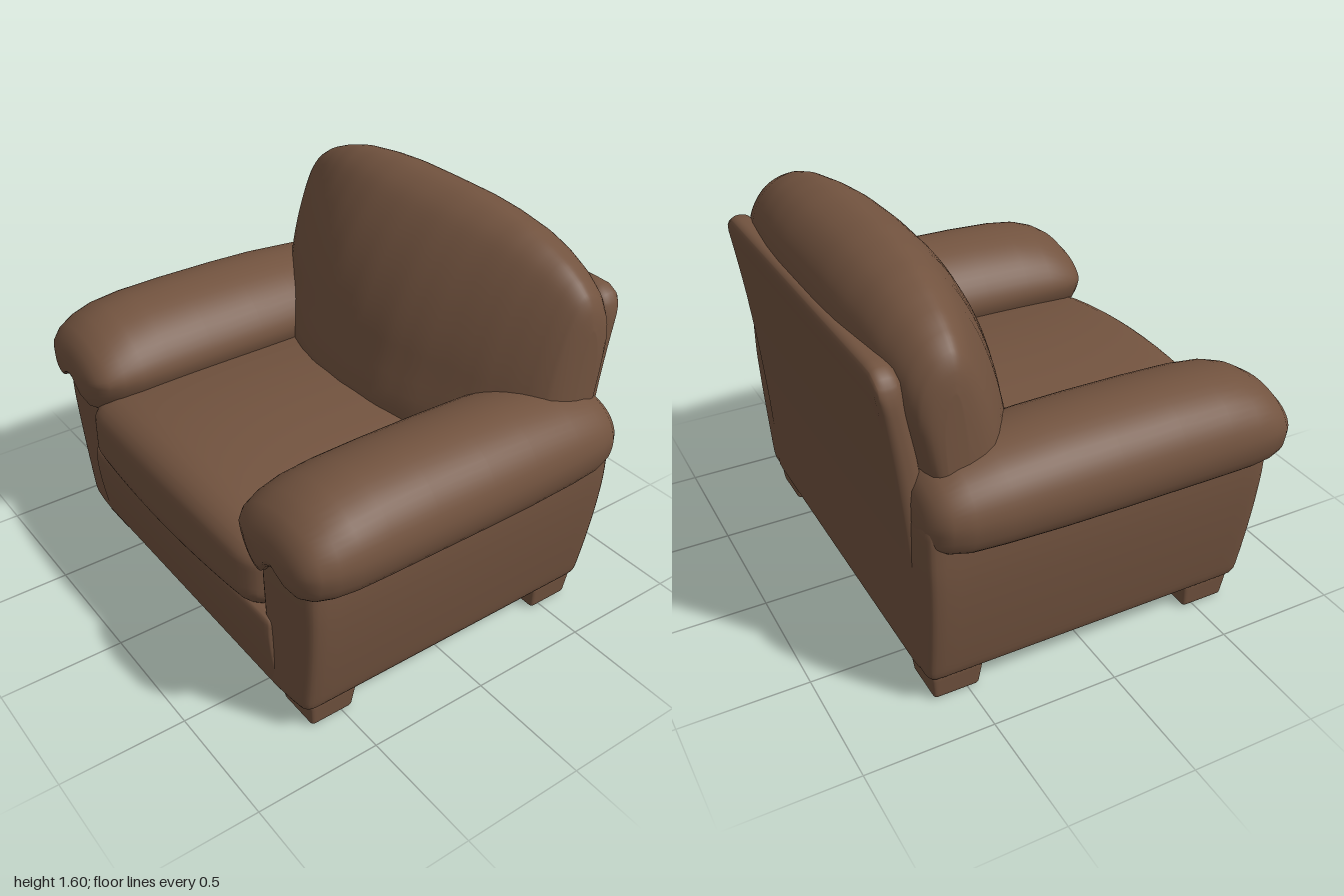
import * as THREE from 'three';
import { mergeVertices } from 'three/addons/utils/BufferGeometryUtils.js';

const leather = new THREE.MeshStandardMaterial({ color: 0x72533f });
leather.name = 'brown leather';

// Moves every vertex by a rule and refreshes the smooth normals
function deform(geo, rule) {
  const p = geo.attributes.position, v = new THREE.Vector3();
  for (let i = 0; i < p.count; i++) {
    rule(v.fromBufferAttribute(p, i));
    p.setXYZ(i, v.x, v.y, v.z);
  }
  geo.computeVertexNormals();
  return geo;
}

// Finely divided rounded box between two corners, optionally reshaped
function softBox([x0, y0, z0], [x1, y1, z1], r, rule = () => {}) {
  const n = 22;
  let geo = new THREE.BoxGeometry(2, 2, 2, n, n, n);
  geo.deleteAttribute('uv');
  geo.deleteAttribute('normal');
  geo = mergeVertices(geo);
  const half = new THREE.Vector3(x1 - x0, y1 - y0, z1 - z0).multiplyScalar(0.5);
  const mid = new THREE.Vector3(x0 + x1, y0 + y1, z0 + z1).multiplyScalar(0.5);
  const inner = half.clone().subScalar(r), low = inner.clone().negate();
  const core = new THREE.Vector3();
  const ease = (t) => Math.sin(t * Math.PI / 2);
  return deform(geo, (v) => {
    v.set(ease(v.x), ease(v.y), ease(v.z)).multiply(half);
    core.copy(v).clamp(low, inner);
    v.sub(core).setLength(r).add(core).add(mid);
    rule(v);
  });
}

// Skin over a row of closed rings, capped at both ends and facing outwards
function loft(rings) {
  const m = rings[0].length, pos = [], idx = [];
  rings.forEach((ring) => ring.forEach((p) => pos.push(p.x, p.y, p.z)));
  for (let i = 0; i < rings.length - 1; i++) for (let j = 0; j < m; j++) {
    const a = i * m + j, b = i * m + (j + 1) % m;
    idx.push(a, b, b + m, a, b + m, a + m);
  }
  [0, rings.length - 1].forEach((i) => {
    const c = new THREE.Vector3();
    rings[i].forEach((p) => c.addScaledVector(p, 1 / m));
    const k = pos.length / 3;
    pos.push(c.x, c.y, c.z);
    for (let j = 0; j < m; j++) {
      const a = i * m + j, b = i * m + (j + 1) % m;
      idx.push(...(i === 0 ? [k, b, a] : [k, a, b]));
    }
  });
  const at = (i) => new THREE.Vector3().fromArray(pos, i * 3);
  let volume = 0;
  for (let i = 0; i < idx.length; i += 3) volume += at(idx[i]).dot(at(idx[i + 1]).cross(at(idx[i + 2])));
  if (volume < 0) idx.reverse();
  const geo = new THREE.BufferGeometry();
  geo.setAttribute('position', new THREE.Float32BufferAttribute(pos, 3));
  geo.setIndex(idx);
  geo.computeVertexNormals();
  return geo;
}

const smoothRing = (pts, n) => new THREE.CatmullRomCurve3(
  pts.map(([a, b]) => new THREE.Vector3(a, b, 0)), true).getPoints(n).slice(0, n);

// Linear lookup in a table whose first column increases
function lookup(table, t, col) {
  let i = 1;
  while (i < table.length - 1 && table[i][0] < t) i++;
  const a = table[i - 1], b = table[i];
  return THREE.MathUtils.mapLinear(t, a[0], b[0], a[col], b[col]);
}

// Rolled armrest: a mushroom-shaped section with rounded ends
function armPad(side) {
  const section = smoothRing([[1.0, 0.84], [0.975, 0.94], [0.9, 1.02], [0.77, 1.06], [0.62, 1.03],
    [0.51, 0.95], [0.455, 0.84], [0.49, 0.74], [0.56, 0.67], [0.62, 0.66], [0.68, 0.72],
    [0.77, 0.76], [0.84, 0.74], [0.9, 0.705], [0.97, 0.74]], 60);
  // z, width, height above the middle, height below it
  const stations = [[-0.69, 0.3, 0.2, 0.3], [-0.685, 0.5, 0.4, 0.55], [-0.66, 0.7, 0.58, 0.8],
    [-0.62, 0.82, 0.72, 0.92], [-0.55, 0.9, 0.82, 1], [-0.42, 0.95, 0.91, 1], [-0.2, 0.99, 0.98, 1],
    [0, 1, 1, 1], [0.25, 1, 1, 1], [0.45, 1, 0.97, 1], [0.57, 0.99, 0.9, 1], [0.65, 0.95, 0.78, 0.98],
    [0.71, 0.87, 0.62, 0.92], [0.745, 0.75, 0.45, 0.8], [0.765, 0.55, 0.25, 0.55], [0.77, 0.3, 0.1, 0.3]];
  return loft(stations.map(([z, w, up, down]) => section.map((p) => new THREE.Vector3(
    side * (0.735 + (p.x - 0.735) * w), 0.82 + (p.y - 0.82) * (p.y > 0.82 ? up : down), z))));
}

// Puffed back cushion: a leaning side profile that shrinks towards both ends
function backCushion() {
  const profile = smoothRing([[-0.08, 0.75], [-0.115, 1.05], [-0.2, 1.28], [-0.32, 1.47], [-0.42, 1.565],
    [-0.53, 1.6], [-0.65, 1.56], [-0.735, 1.46], [-0.76, 1.34], [-0.72, 1.15], [-0.66, 0.95], [-0.6, 0.75]], 64);
  // x, forward size, backward size, height
  const sizes = [[0, 1, 1, 1], [0.2, 0.97, 1, 0.998], [0.35, 0.89, 0.97, 0.985], [0.5, 0.77, 0.9, 0.96],
    [0.6, 0.68, 0.85, 0.925], [0.7, 0.56, 0.75, 0.875], [0.77, 0.46, 0.66, 0.82],
    [0.815, 0.37, 0.53, 0.765], [0.837, 0.25, 0.36, 0.7], [0.845, 0.12, 0.16, 0.62]];
  const rings = [];
  for (let i = -30; i <= 30; i++) {
    const x = 0.845 * Math.sin(i / 30 * Math.PI / 2), a = Math.abs(x);
    const [front, back, tall] = [1, 2, 3].map((c) => lookup(sizes, a, c));
    rings.push(profile.map((p) => {
      const d = p.x + 0.56;
      return new THREE.Vector3(x, 0.75 + (p.y - 0.75) * tall, -0.56 + d * (d > 0 ? front : back));
    }));
  }
  return loft(rings);
}

export function createModel() {
  const chair = new THREE.Group();
  chair.name = 'armchair';
  const add = (name, geo) => {
    const mesh = new THREE.Mesh(geo, leather);
    mesh.name = name;
    chair.add(mesh);
  };

  // Frame under the seat, its front slightly bulged
  add('baseFrame', softBox([-0.67, 0.1, -0.66], [0.67, 0.47, 0.735], 0.035, (v) => {
    if (v.z > 0.5) v.z -= 0.045 * Math.pow(Math.max(0, (0.4 - v.y) / 0.3), 1.5);
  }));

  // Seat cushion, crowned on top and bowed at the front
  add('seatCushion', softBox([-0.635, 0.44, -0.45], [0.635, 0.83, 0.795], 0.12, (v) => {
    const q = (v.x / 0.635) ** 2;
    if (v.y > 0.5) v.y -= 0.08 * q * (v.y - 0.5) / 0.33;
    if (v.z > 0) {
      v.z -= 0.035 * q * v.z / 0.795;
      if (v.y > 0.6) v.y -= 0.05 * (v.z / 0.795) ** 4 * (v.y - 0.6) / 0.23;
    }
  }));

  add('backCushion', backCushion());

  // Back panel, curving rearwards as it rises
  add('backPanel', softBox([-0.77, 0.1, -0.05], [0.77, 1.36, 0.05], 0.045, (v) => {
    const t = Math.max(0, (v.y - 0.1) / 1.25);
    v.z -= 0.625 + 0.12 * Math.pow(t, 1.7);
    // Rounded upper corners
    const over = Math.max(0, Math.abs(v.x) - 0.67) / 0.1;
    if (v.y > 1) v.y -= 0.08 * over ** 3 * (v.y - 1) / 0.36;
  }));

  for (const side of [1, -1]) {
    const word = side > 0 ? 'left' : 'right';
    add(word + 'ArmPad', armPad(side));

    // Side panel, narrowing towards the floor
    const x = [0.6 * side, 0.9 * side].sort((a, b) => a - b);
    add(word + 'SidePanel', softBox([x[0], 0.1, -0.69], [x[1], 0.84, 0.725], 0.05, (v) => {
      const k = Math.max(0, (0.65 - v.y) / 0.55);
      const outer = (Math.abs(v.x) - 0.6) / 0.3;
      v.x -= side * 0.075 * Math.pow(k, 1.5) * outer;
      if (v.z > 0.5) v.z -= 0.025 * k + 0.02 * outer * outer;
      if (v.z < -0.5) v.z += 0.02 * k;
    }));

    // Short tapered feet
    for (const end of [1, -1]) {
      const cx = 0.705 * side, cz = 0.545 * end;
      add(word + (end > 0 ? 'FrontFoot' : 'BackFoot'),
        softBox([cx - 0.103, 0, cz - 0.103], [cx + 0.103, 0.14, cz + 0.103], 0.018, (v) => {
          const s = 0.88 + 0.12 * Math.min(1, v.y / 0.1);
          v.x = cx + (v.x - cx) * s;
          v.z = cz + (v.z - cz) * s;
        }));
    }
  }
  return chair;
}
